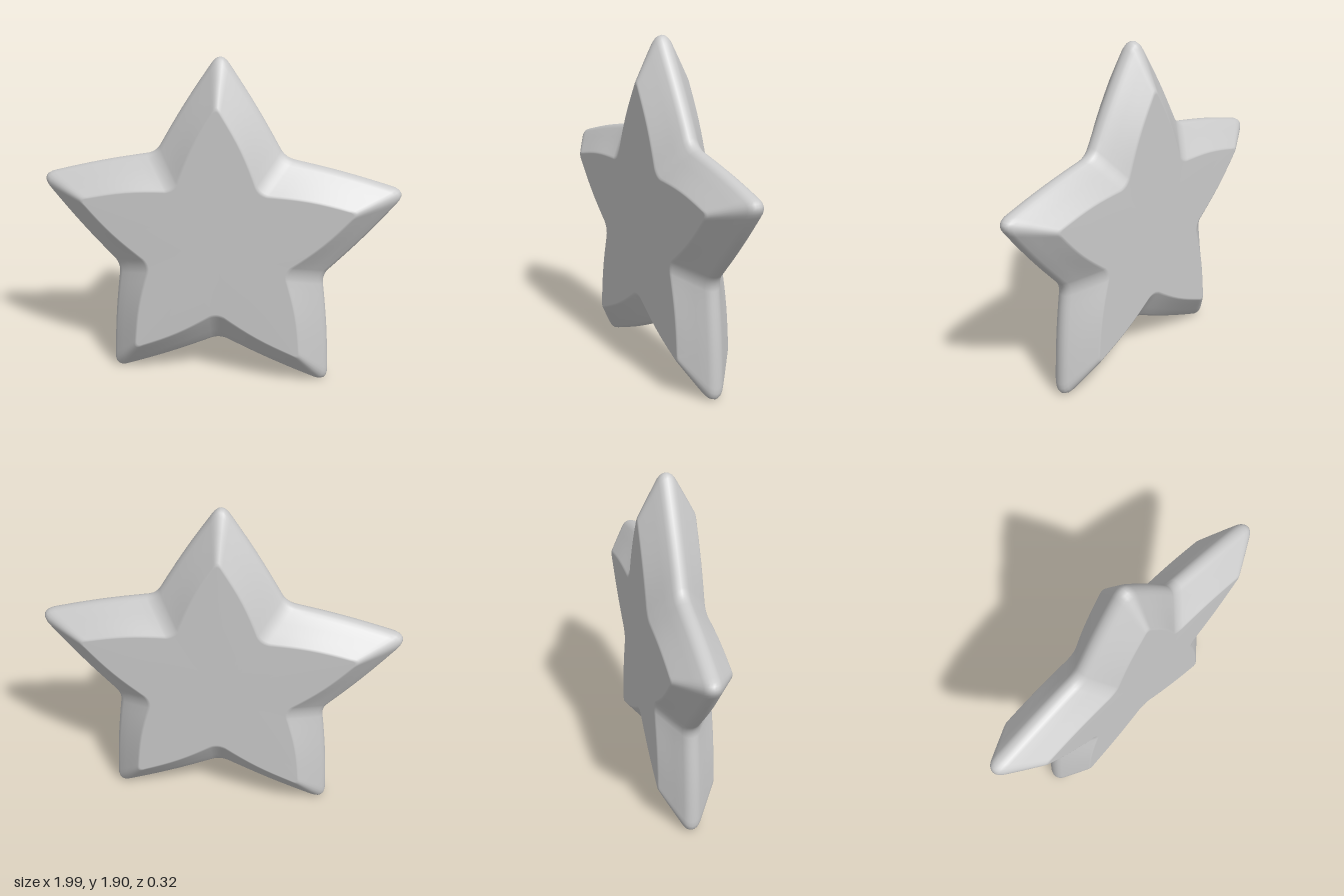
import * as THREE from 'three';

const CENTER_Y = 0.855;
const lerp = THREE.MathUtils.lerp;

// Closed five-pointed outline with rounded corners; t = 0 is the flat face, t = 1 the rim
function starRing(t) {
  const outer = lerp(0.827, 1.09, t), inner = lerp(0.408, 0.615, t);
  const tipRound = lerp(0.06, 0.1, t), bow = lerp(0.014, 0.007, t);
  const corners = [];
  for (let i = 0; i < 10; i++) {
    const a = Math.PI / 2 + (i * Math.PI) / 5, r = i % 2 ? inner : outer;
    corners.push(new THREE.Vector2(Math.cos(a) * r, Math.sin(a) * r));
  }
  const pts = [];
  corners.forEach((p, i) => {
    const prev = corners[(i + 9) % 10], next = corners[(i + 1) % 10];
    const d = i % 2 ? 0.05 : tipRound;
    const a = prev.clone().sub(p).setLength(d).add(p);
    const b = next.clone().sub(p).setLength(d).add(p);
    // rounded corner
    pts.push(...new THREE.QuadraticBezierCurve(a, p, b).getPoints(6));
    // slightly bowed edge towards the next corner
    const nd = i % 2 ? tipRound : 0.05;
    const end = p.clone().sub(next).setLength(nd).add(next);
    const dir = end.clone().sub(b).normalize();
    for (let k = 1; k < 8; k++) {
      const s = k / 8, h = bow * Math.sin(Math.PI * s);
      const q = b.clone().lerp(end, s);
      pts.push(new THREE.Vector2(q.x + dir.y * h, q.y - dir.x * h));
    }
  });
  return pts;
}

function starGeometry() {
  // [t, z] from the front face out to the rim, then mirrored to the back
  const half = [[-0.06, 0.162], [-0.01, 0.16], [0.04, 0.155], [0.3, 0.122], [0.6, 0.083],
    [0.87, 0.047], [0.95, 0.031], [0.985, 0.016]];
  const profile = [...half, [1, 0], ...half.map(([t, z]) => [t, -z]).reverse()];
  const pos = [], index = [];
  let n = 0;
  for (const [t, z] of profile) {
    const ring = starRing(t);
    n = ring.length;
    for (const p of ring) pos.push(p.x, p.y, z);
  }
  const front = pos.length / 3, back = front + 1;
  pos.push(0, 0, 0.162, 0, 0, -0.162);
  const last = (profile.length - 1) * n;
  for (let j = 0; j < n; j++) {
    const k = (j + 1) % n;
    for (let i = 0; i < last; i += n) {
      index.push(i + j, i + n + j, i + n + k, i + j, i + n + k, i + k);
    }
    index.push(front, j, k, back, last + k, last + j);
  }
  const geo = new THREE.BufferGeometry();
  geo.setAttribute('position', new THREE.Float32BufferAttribute(pos, 3));
  geo.setIndex(index);
  geo.computeVertexNormals();
  return geo;
}

export function createModel() {
  const group = new THREE.Group();
  const star = new THREE.Mesh(starGeometry(), new THREE.MeshStandardMaterial({ color: 0xcccccc }));
  star.name = 'star';
  star.position.y = CENTER_Y;
  group.add(star);
  return group;
}
